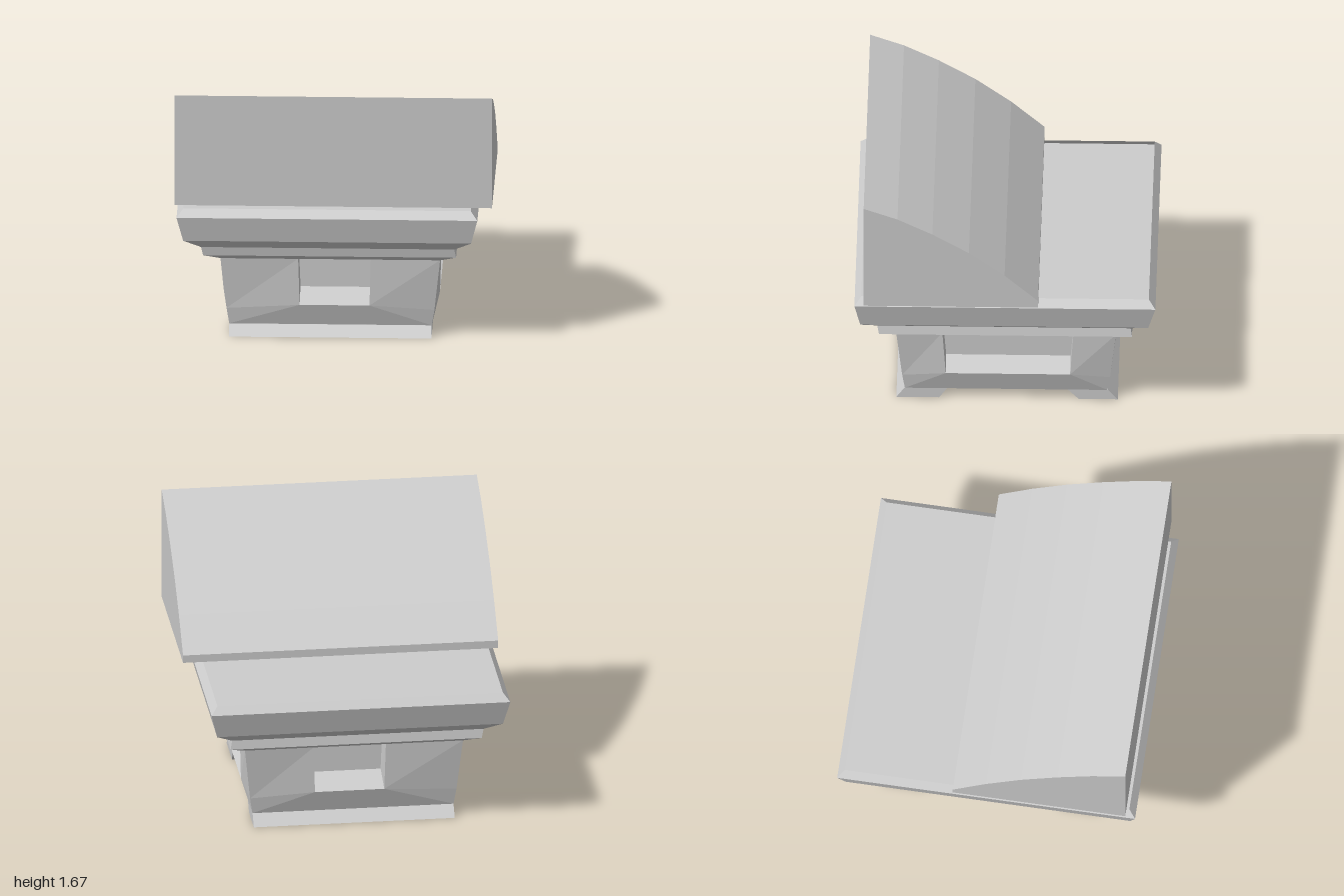
import * as THREE from 'three';

// Flat-sided geometry from quads, corners counter-clockwise from outside
function quadGeometry(quads) {
  const pos = [];
  for (const [a, b, c, d] of quads) pos.push(...a, ...b, ...c, ...a, ...c, ...d);
  const g = new THREE.BufferGeometry();
  g.setAttribute('position', new THREE.Float32BufferAttribute(pos, 3));
  g.computeVertexNormals();
  return g;
}

// Stack of square rings [y, half, cx, cz], capped top and bottom
function squareLoft(rings) {
  const loops = rings.map(([y, h, cx, cz]) =>
    [[-1, 1], [1, 1], [1, -1], [-1, -1]].map(([x, z]) => [cx + x * h, y, cz + z * h]));
  const quads = [];
  for (let i = 0; i < loops.length - 1; i++) {
    for (let k = 0; k < 4; k++) {
      const n = (k + 1) % 4;
      quads.push([loops[i][k], loops[i][n], loops[i + 1][n], loops[i + 1][k]]);
    }
  }
  quads.push([...loops[0]].reverse(), loops[loops.length - 1]);
  return quadGeometry(quads);
}

// Outline in (z, y) extruded along x from x0 to x1
function extrudeX(points, x0, x1) {
  const shape = new THREE.Shape(points.map(([z, y]) => new THREE.Vector2(-z, y)));
  const g = new THREE.ExtrudeGeometry(shape, { depth: x1 - x0, bevelEnabled: false });
  return g.rotateY(Math.PI / 2).translate(x0, 0, 0);
}

// One pedestal wall facing +z with a recessed opening
function wallGeometry(off, wTop, wBot, depth, sill, lintel) {
  const T = 0.692, M = 0.655, B = 0.638, W = 0.682;
  const top = (s) => [s * T, 0.522, T];
  const mid = (s) => [s * M, 0.178, M];
  const base = (s) => [s * B, 0.07, B];
  const winT = (s) => [off + s * wTop, 0.522, T];
  const winB = (s) => [off + s * wBot, 0.212, W];
  const inT = (s) => [off + s * wTop, lintel, T - depth];
  const inB = (s) => [off + s * wBot, sill, T - depth];
  return quadGeometry([
    [mid(-1), winB(-1), winT(-1), top(-1)],
    [winB(1), mid(1), top(1), winT(1)],
    [base(-1), base(1), winB(1), winB(-1)],
    [base(-1), winB(-1), mid(-1), base(-1)],
    [base(1), mid(1), winB(1), base(1)],
    [inB(-1), inB(1), inT(1), inT(-1)],      // back of recess
    [winB(-1), winB(1), inB(1), inB(-1)],    // sill
    [inT(-1), inT(1), winT(1), winT(-1)],    // ceiling
    [winB(-1), inB(-1), inT(-1), winT(-1)],  // jambs
    [inB(1), winB(1), winT(1), inT(1)],
  ]);
}

export function createModel() {
  const model = new THREE.Group();
  const stone = new THREE.MeshStandardMaterial({ color: 0xcccccc });
  stone.name = 'grey stone';
  const add = (name, geometry, parent = model) => {
    const mesh = new THREE.Mesh(geometry, stone);
    mesh.name = name;
    parent.add(mesh);
    return mesh;
  };

  // Two slanted runners under the pedestal
  add('frontFoot', extrudeX([[0.69, 0], [0.42, 0], [0.37, 0.07], [0.638, 0.07]], -0.663, 0.612));
  add('backFoot', extrudeX([[-0.458, 0], [-0.705, 0], [-0.643, 0.07], [-0.39, 0.07]], -0.663, 0.612));

  // Pedestal with an opening on each side
  const pedestal = new THREE.Group();
  pedestal.name = 'pedestal';
  pedestal.position.set(-0.025, 0, -0.002);
  model.add(pedestal);
  for (let i = 0; i < 4; i++) {
    const s = i < 2 ? 1 : -1;
    const g = i % 2
      ? wallGeometry(s * 0.012, 0.413, 0.392, 0.16, 0.257, 0.522)
      : wallGeometry(s * 0.0265, 0.229, 0.22, 0.2, 0.272, 0.5);
    add('pedestalWall', g.rotateY(i * Math.PI / 2), pedestal);
  }
  const b = 0.638;
  add('pedestalUnderside',
    quadGeometry([[[-b, 0.07, -b], [b, 0.07, -b], [b, 0.07, b], [-b, 0.07, b]]]), pedestal);

  // Stepped cornice
  add('cornice', squareLoft([
    [0.521, 0.692, -0.025, -0.002], [0.575, 0.797, -0.026, -0.001], [0.633, 0.798, -0.038, 0.009],
  ]));
  // Table slab with a slanted rim around a slightly sunken top
  add('tableSlab', squareLoft([
    [0.633, 0.798, -0.038, 0.009], [0.709, 0.907, -0.038, 0.005],
    [0.873, 0.948, -0.038, 0], [0.923, 0.906, -0.038, 0], [0.878, 0.943, -0.038, 0],
  ]));

  // Curved wedge floating just above the slab
  add('curvedWedge', extrudeX([
    [0.888, 0.938], [0.888, 1.667], [0.675, 1.59], [0.455, 1.48],
    [0.225, 1.343], [0, 1.176], [-0.211, 0.988], [-0.211, 0.938],
  ], -1, 1));

  return model;
}
